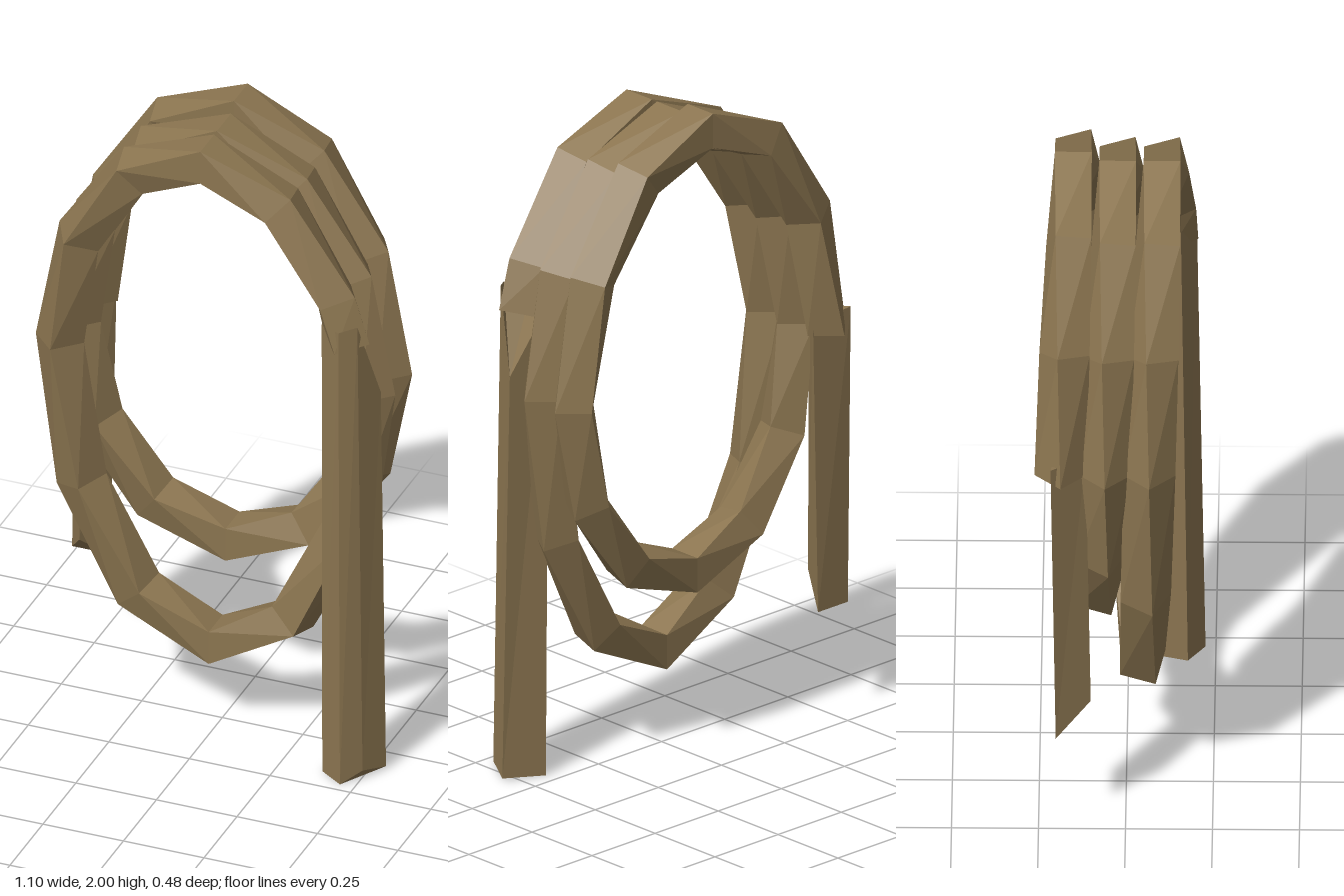
import * as THREE from 'three';

const material = new THREE.MeshStandardMaterial({ color: 0x8b7550, flatShading: true });

// Skin a list of equal-sized corner rings and close both ends.
function loft(name, rings) {
  const n = rings[0].length, pos = [];
  const tri = (a, b, c) => pos.push(...a, ...b, ...c);
  for (let i = 0; i < rings.length - 1; i++) {
    for (let j = 0; j < n; j++) {
      const k = (j + 1) % n;
      tri(rings[i][j], rings[i + 1][j], rings[i][k]);
      tri(rings[i][k], rings[i + 1][j], rings[i + 1][k]);
    }
  }
  const first = rings[0], last = rings[rings.length - 1];
  for (let j = 1; j < n - 1; j++) {
    tri(first[0], first[j], first[j + 1]);
    tri(last[0], last[j + 1], last[j]);
  }
  const geometry = new THREE.BufferGeometry();
  geometry.setAttribute('position', new THREE.Float32BufferAttribute(pos, 3));
  geometry.computeVertexNormals();
  const mesh = new THREE.Mesh(geometry, material);
  mesh.name = name;
  return mesh;
}

// Centre of the rope at an angle in degrees: three hanging turns, each
// further back, the lower loops of different lengths.
function coilPoint(deg) {
  const a = THREE.MathUtils.degToRad(deg);
  const s = Math.sin(a);
  const up = deg > 700 ? 0.75 : 0.72;
  const down = deg < 360 ? 0.92 : 0.645;
  return new THREE.Vector3(
    0.47 * Math.cos(a) - 0.006,
    1.2 + s * (s > 0 ? up : down),
    0.1 - 0.1275 * (deg - 90) / 360
  );
}

// Square rope section, slowly twisting: flat at top and bottom, on edge at the sides.
function coilRing(deg) {
  const c = coilPoint(deg);
  const t = coilPoint(deg + 8).sub(coilPoint(deg - 8)).setZ(0).normalize();
  const ring = [];
  for (let j = 0; j < 4; j++) {
    const phi = THREE.MathUtils.degToRad(deg / 2 + j * 90);
    const out = 0.075 * Math.cos(phi), side = 0.075 * Math.sin(phi);
    ring.push([c.x + t.y * out, c.y - t.x * out, c.z + side]);
  }
  return ring;
}

export function createModel() {
  const group = new THREE.Group();
  group.name = 'hangingRope';

  // Coiled middle of the rope
  const angles = [18];
  for (let deg = 30; deg <= 900; deg += 30) angles.push(deg);
  group.add(loft('ropeCoil', angles.map(coilRing)));

  // Long thick front end
  group.add(loft('frontRopeEnd', [
    [[0.545, 0.01, 0.09], [0.505, 0.03, 0.17], [0.455, 0, 0.22], [0.38, 0, 0.17], [0.42, 0, 0.04]],
    [[0.525, 1.25, 0.08], [0.485, 1.5, 0.16], [0.44, 1.49, 0.195], [0.37, 1.48, 0.15], [0.4, 1.45, 0.05]],
  ]));

  // Short back end, cut at a slant
  group.add(loft('backRopeEnd', [
    [[-0.43, 0.34, -0.2], [-0.485, 0.43, -0.1], [-0.548, 0.34, -0.2]],
    [[-0.41, 1.24, -0.2], [-0.475, 1.26, -0.115], [-0.545, 1.26, -0.215]],
  ]));
  return group;
}
